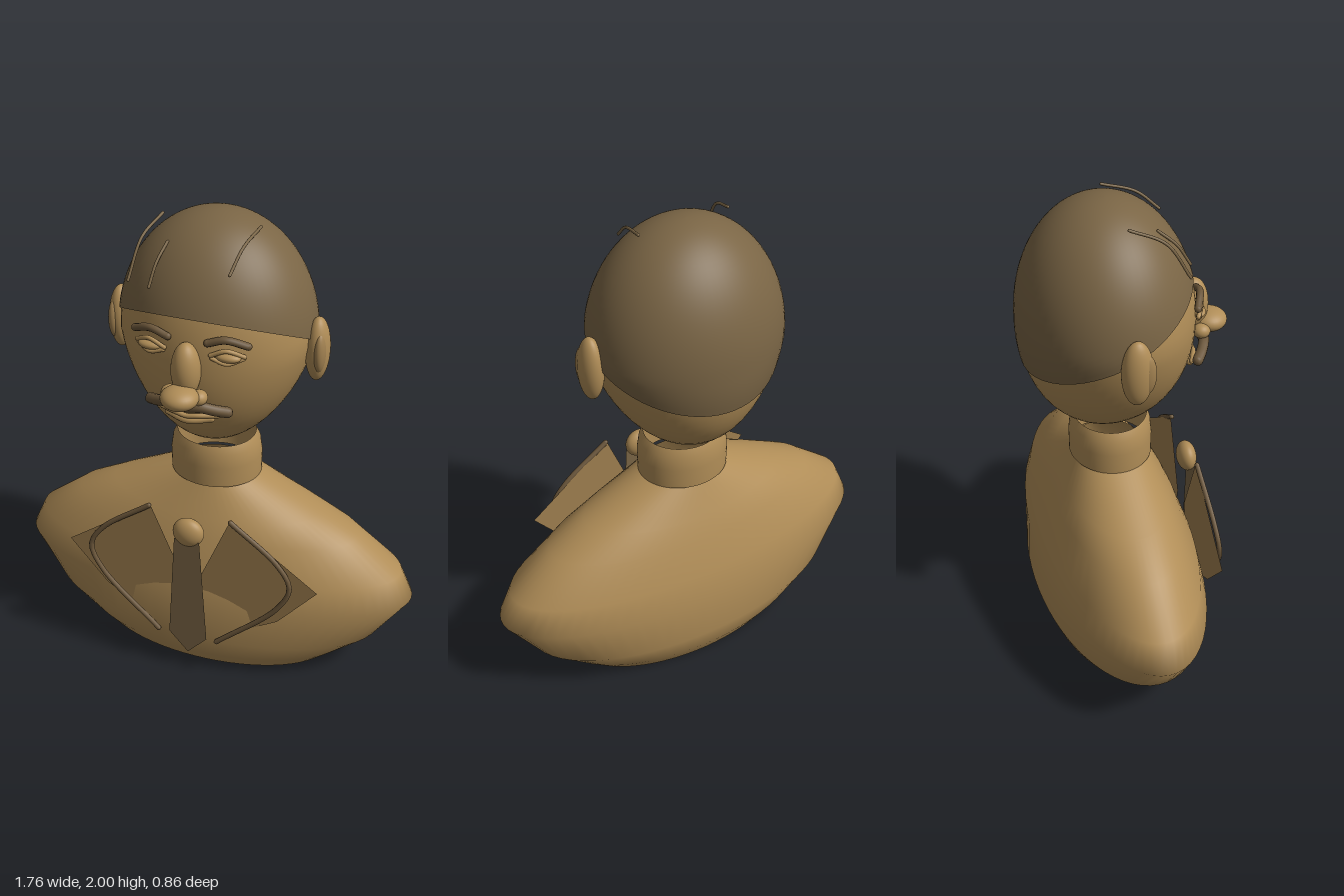
import * as THREE from 'three';

const material = (name, color, side = THREE.FrontSide) => {
  const m = new THREE.MeshStandardMaterial({ color, side });
  m.name = name;
  return m;
};

// Closed surface of rings; point(i, a) gives row i from bottom to top at angle a
function ringSurface(rows, sides, point) {
  const pos = [], index = [];
  for (let i = 0; i <= rows; i++) {
    for (let j = 0; j < sides; j++) {
      pos.push(...point(i, (j / sides) * Math.PI * 2));
      if (i === rows) continue;
      const p = i * sides + j, next = i * sides + ((j + 1) % sides);
      index.push(p, p + sides, next, next, p + sides, next + sides);
    }
  }
  const g = new THREE.BufferGeometry();
  g.setAttribute('position', new THREE.Float32BufferAttribute(pos, 3));
  g.setIndex(index);
  g.computeVertexNormals();
  return g;
}

// Stack of elliptical sections [y, half width, half depth]
const stack = (sections, cz) => ringSurface(sections.length - 1, 64, (i, a) => {
  const [y, rx, rz] = sections[i];
  return [rx * Math.cos(a), y, cz + rz * Math.sin(a)];
});

// Egg-shaped skull with a narrowed jaw; rim(a) is the polar angle where it starts
const CY = 1.507, CZ = -0.075;
const skull = (rx, ry, rz, rim) => ringSurface(32, 64, (i, a) => {
  const th = rim(a) * (1 - i / 32), jaw = Math.max(0, -Math.cos(th));
  return [
    rx * Math.sin(th) * Math.cos(a) * (1 - 0.2 * jaw),
    CY + ry * Math.cos(th),
    CZ + rz * Math.sin(th) * Math.sin(a) * (1 + 0.06 * jaw),
  ];
});

export function createModel() {
  const bronze = material('bronze', 0xb08d57, THREE.DoubleSide);
  const lapelBronze = material('lapel bronze', 0xa08050, THREE.DoubleSide);
  const darkBronze = material('dark bronze', 0x7a6545, THREE.DoubleSide);
  const deepBronze = material('deep bronze', 0x6b563a);

  const model = new THREE.Group();
  model.name = 'bust';
  const add = (name, geometry, mat, parent = model) => {
    const mesh = new THREE.Mesh(geometry, mat);
    mesh.name = name;
    parent.add(mesh);
    return mesh;
  };
  const ball = (name, [x, y, z], [rx, ry, rz], mat) => {
    const mesh = add(name, new THREE.SphereGeometry(1, 32, 20), mat);
    mesh.position.set(x, y, z);
    mesh.scale.set(rx, ry, rz);
    return mesh;
  };
  // Round rod through points, with rounded ends
  const rod = (name, points, r, mat) => {
    const v = points.map((p) => new THREE.Vector3(...p));
    const mesh = add(name, new THREE.TubeGeometry(new THREE.CatmullRomCurve3(v), 28, r, 10), mat);
    for (const end of [v[0], v[v.length - 1]]) {
      const cap = add(name + 'End', new THREE.SphereGeometry(r, 10, 8), mat, mesh);
      cap.position.copy(end);
    }
    return mesh;
  };
  const plate = (name, points, z, mat) => {
    const shape = new THREE.Shape(points.map((p) => new THREE.Vector2(...p)));
    add(name, new THREE.ShapeGeometry(shape), mat).position.z = z;
  };

  // Torso, open underneath, and neck
  add('torso', stack([
    [0, 0.54, 0.275], [0.07, 0.62, 0.315], [0.18, 0.75, 0.351], [0.37, 0.88, 0.337],
    [0.49, 0.825, 0.31], [0.635, 0.635, 0.257], [0.72, 0.465, 0.22], [0.85, 0.185, 0.155],
  ], -0.06), bronze);
  add('neck', stack([
    [0.85, 0.192, 0.17], [0.94, 0.194, 0.171], [1.0, 0.185, 0.165], [1.035, 0.165, 0.15],
  ], -0.06), bronze);

  // Head and the hair cap, cut off along a plane sloping down to the back
  add('head', skull(0.396, 0.486, 0.349, () => Math.PI), bronze);
  const slope = 0.53, hairY = 0.493, hairZ = 0.356;
  const level = 1.7 + slope * (CZ - 0.28) - CY;
  add('hair', skull(0.404, hairY, hairZ, (a) => {
    const b = -slope * hairZ * Math.sin(a);
    return Math.atan2(b, hairY) + Math.acos(level / Math.hypot(hairY, b));
  }), darkBronze);

  // Loose hair strands
  const strands = [
    [[-0.215, 1.965, -0.04], [-0.25, 1.91, 0.09], [-0.272, 1.77, 0.18]],
    [[-0.145, 1.91, 0.09], [-0.163, 1.85, 0.16], [-0.175, 1.77, 0.21]],
    [[0.18, 1.965, -0.04], [0.155, 1.93, 0.09], [0.135, 1.855, 0.18]],
  ];
  for (const s of strands) rod('hairStrand', s, 0.006, darkBronze);

  // Nose, knot and tie
  ball('noseBridge', [0, 1.49, 0.285], [0.058, 0.115, 0.062], bronze);
  ball('noseTip', [0, 1.407, 0.355], [0.075, 0.045, 0.073], bronze);
  ball('tieKnot', [0, 0.727, 0.28], [0.067, 0.065, 0.042], bronze);
  plate('tie', [[-0.055, 0.7], [-0.085, 0.195], [0, 0.1], [0.085, 0.195], [0.055, 0.7]], 0.302, darkBronze);

  // Lips
  rod('upperLip', [[-0.115, 1.292, 0.25], [-0.04, 1.293, 0.28], [0, 1.288, 0.284],
    [0.04, 1.293, 0.28], [0.115, 1.292, 0.25]], 0.01, bronze);
  rod('lowerLip', [[-0.09, 1.273, 0.25], [0, 1.264, 0.276], [0.09, 1.273, 0.25]], 0.014, bronze);

  // Paired parts
  for (const s of [1, -1]) {
    const side = s > 0 ? 'left' : 'right';
    const m = (points) => points.map(([x, ...rest]) => [s * x, ...rest]);

    ball(side + 'Ear', [s * 0.415, 1.483, -0.063], [0.049, 0.137, 0.062], bronze);
    ball(side + 'InnerEar', [s * 0.432, 1.483, -0.032], [0.025, 0.085, 0.038], lapelBronze);
    ball(side + 'Nostril', [s * 0.06, 1.393, 0.305], [0.034, 0.03, 0.036], bronze);

    // Eye between two lids, and brow
    ball(side + 'Eye', [s * 0.155, 1.556, 0.25], [0.052, 0.02, 0.03], bronze);
    rod(side + 'UpperLid', m([[0.093, 1.562, 0.27], [0.155, 1.588, 0.266], [0.217, 1.56, 0.235]]), 0.009, bronze);
    rod(side + 'LowerLid', m([[0.098, 1.55, 0.27], [0.155, 1.533, 0.266], [0.212, 1.55, 0.235]]), 0.008, bronze);
    rod(side + 'Eyebrow', m([[0.08, 1.61, 0.268], [0.15, 1.63, 0.26], [0.228, 1.603, 0.228]]), 0.015, deepBronze);

    // Moustache half
    rod(side + 'Moustache', m([[0.01, 1.35, 0.318], [0.07, 1.355, 0.312], [0.12, 1.338, 0.288],
      [0.158, 1.322, 0.26]]), 0.022, deepBronze);

    // Lapel and its piping
    plate(side + 'Lapel', m([[0.175, 0.815], [0.55, 0.545], [0.385, 0.35], [0.1, 0.18], [0.045, 0.5]]),
      0.263, lapelBronze);
    rod(side + 'LapelPiping', m([[0.178, 0.81, 0.268], [0.385, 0.655, 0.28], [0.44, 0.56, 0.288],
      [0.39, 0.445, 0.296], [0.132, 0.2, 0.307]]), 0.011, deepBronze);
  }
  return model;
}
